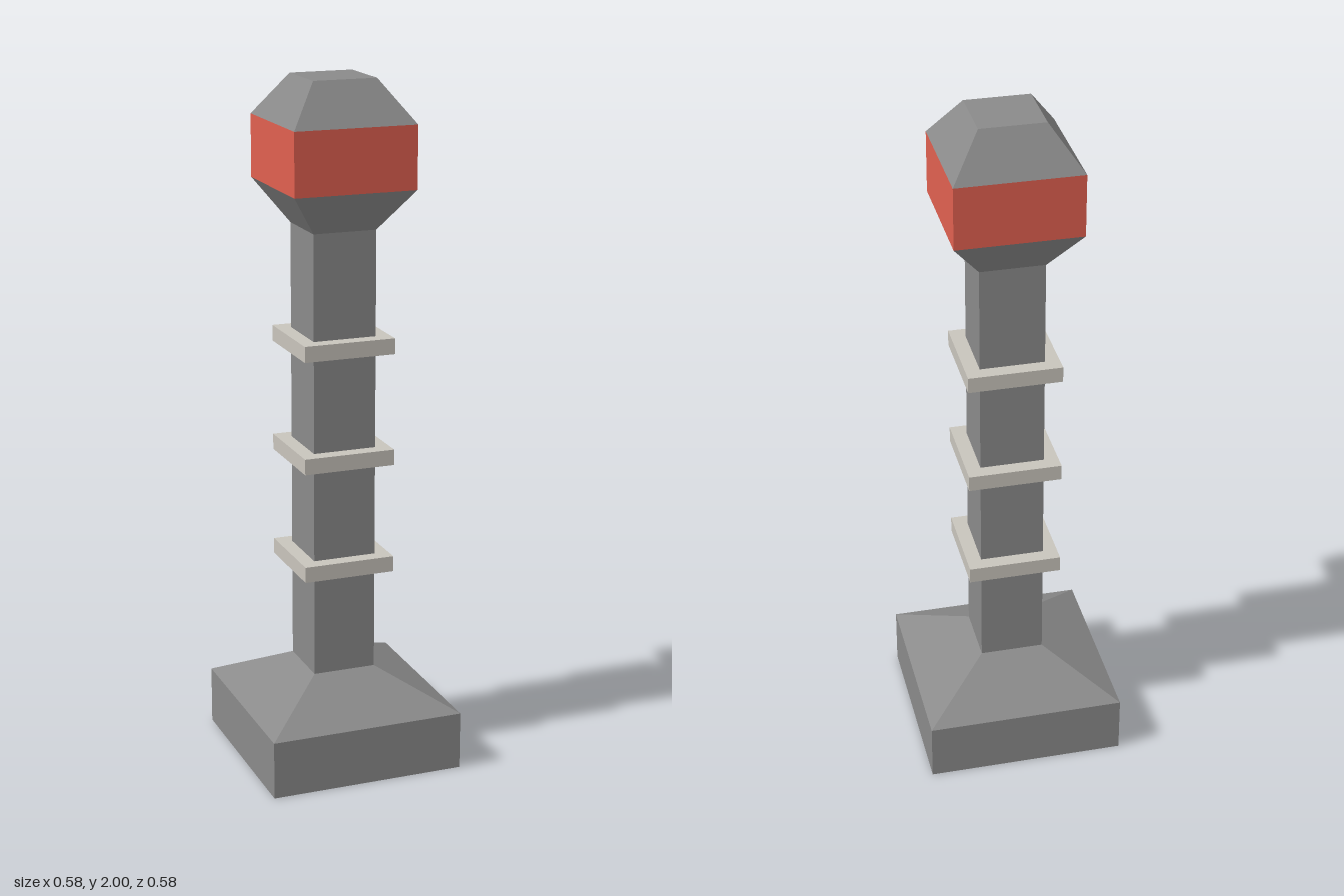
import * as THREE from 'three';

const stone = new THREE.MeshStandardMaterial({ color: 0x8a8a8a, flatShading: true });
const red = new THREE.MeshStandardMaterial({ color: 0xe06050, flatShading: true });
const pale = new THREE.MeshStandardMaterial({ color: 0xc8c4bc, flatShading: true });

const SHAFT = 0.093, HEAD = 0.179, BASE = 0.288, RING = 0.135;

// Square frustum between two heights, given the half widths at each end
function block(name, y0, y1, half0, half1, material, open = true) {
  const geometry = new THREE.CylinderGeometry(half1 * Math.SQRT2, half0 * Math.SQRT2, y1 - y0, 4, 1, open);
  geometry.rotateY(Math.PI / 4);
  const mesh = new THREE.Mesh(geometry, material);
  mesh.name = name;
  mesh.position.y = (y0 + y1) / 2;
  return mesh;
}

export function createModel() {
  const model = new THREE.Group();
  model.name = 'bollard';

  // Foot and shaft
  model.add(
    block('base', 0, 0.17, BASE, BASE, stone, false),
    block('baseSlope', 0.17, 0.275, BASE, SHAFT, stone),
    block('shaft', 0.275, 1.58, SHAFT, SHAFT, stone),
  );

  // Three collars around the shaft
  const rings = new THREE.Group();
  rings.name = 'rings';
  [0.602, 0.925, 1.252].forEach((y, i) => {
    rings.add(block(`ring${i + 1}`, y - 0.023, y + 0.023, RING, RING, pale, false));
  });
  model.add(rings);

  // Head with a coloured band
  const head = new THREE.Group();
  head.name = 'head';
  head.add(
    block('headUnderside', 1.58, 1.7, SHAFT, HEAD, stone),
    block('headBand', 1.7, 1.88, HEAD, HEAD, red),
    block('headCap', 1.88, 2, HEAD, SHAFT, stone, false),
  );
  model.add(head);

  return model;
}
